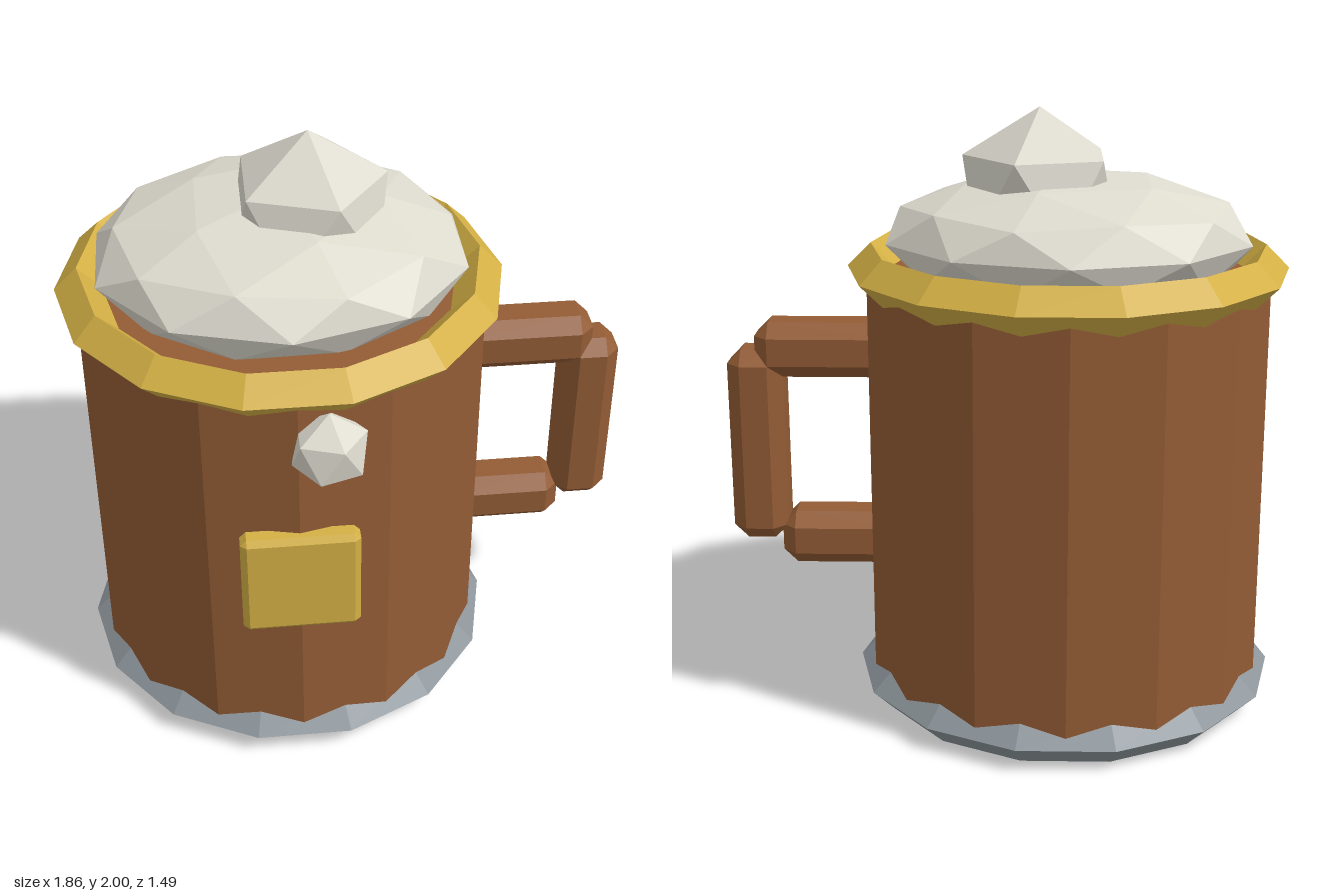
import * as THREE from 'three';
import { ConvexGeometry } from 'three/addons/geometries/ConvexGeometry.js';

const CX = -0.207, CZ = -0.035; // axis of the mug

const makeMaterial = (name, color) => {
  const m = new THREE.MeshStandardMaterial({ color });
  m.name = name;
  return m;
};

// Box with one flat chamfer on every edge
function chamferBox(w, h, d, b) {
  const pts = [];
  for (const x of [-1, 1]) for (const y of [-1, 1]) for (const z of [-1, 1])
    for (let full = 0; full < 3; full++)
      pts.push(new THREE.Vector3(
        x * (w / 2 - (full === 0 ? 0 : b[0])),
        y * (h / 2 - (full === 1 ? 0 : b[1])),
        z * (d / 2 - (full === 2 ? 0 : b[2]))));
  return new ConvexGeometry(pts);
}

// Icosphere standing on a vertex, with its upper ring starting at +x
function icosphere(detail, sx, sy, sz) {
  const g = new THREE.IcosahedronGeometry(1, detail);
  g.rotateX(-Math.atan2((1 + Math.sqrt(5)) / 2, 1));
  g.rotateY(Math.PI / 2);
  return g.scale(sx, sy, sz);
}

// Faceted ring with a diamond cross-section
const ring = (radius, tube) => new THREE.TorusGeometry(radius, tube, 4, 14).rotateX(Math.PI / 2);

export function createModel() {
  const wood = makeMaterial('wood', 0x935c35);
  const gold = makeMaterial('gold', 0xd4b045);
  const steel = makeMaterial('steel', 0x8d959b);
  const foam = makeMaterial('foam', 0xdddace);
  const model = new THREE.Group();
  model.name = 'mug';

  const add = (name, geometry, material, x, y, z, parent = model) => {
    const g = geometry.index ? geometry.toNonIndexed() : geometry;
    g.computeVertexNormals(); // flat facets
    const mesh = new THREE.Mesh(g, material);
    mesh.name = name;
    mesh.position.set(x, y, z);
    parent.add(mesh);
    return mesh;
  };

  // Body and its two rings
  add('body', new THREE.CylinderGeometry(0.667, 0.667, 1.4, 14), wood, CX, 0.78, CZ);
  add('baseRing', ring(0.638, 0.075), steel, CX, 0.075, CZ);
  add('rimRing', ring(0.65, 0.077), gold, CX, 1.478, CZ);

  // Foam dome and its peak
  add('foam', icosphere(1, 0.615, 0.215, 0.54), foam, CX, 1.58, CZ);
  add('foamPeak', icosphere(0, 0.28, 0.28, 0.28), foam, -0.112, 1.72, CZ);

  // Drip and plate on the front
  add('foamDrip', icosphere(0, 0.128, 0.128, 0.128), foam, -0.114, 1.292, 0.637);
  add('frontPlate', chamferBox(0.378, 0.378, 0.074, [0.02, 0.02, 0.016]), gold, CX, 0.77, 0.63);

  // Handle: two arms and a grip
  const handle = new THREE.Group();
  handle.name = 'handle';
  model.add(handle);
  const b = [0.047, 0.047, 0.047];
  const bars = [
    ['upperArm', 0.3, 0.835, 1.105, 1.292],
    ['lowerArm', 0.3, 0.763, 0.44, 0.626],
    ['grip', 0.743, 0.93, 0.53, 1.197],
  ];
  for (const [name, x0, x1, y0, y1] of bars)
    add(name, chamferBox(x1 - x0, y1 - y0, 0.188, b), wood, (x0 + x1) / 2, (y0 + y1) / 2, -0.031, handle);

  return model;
}
